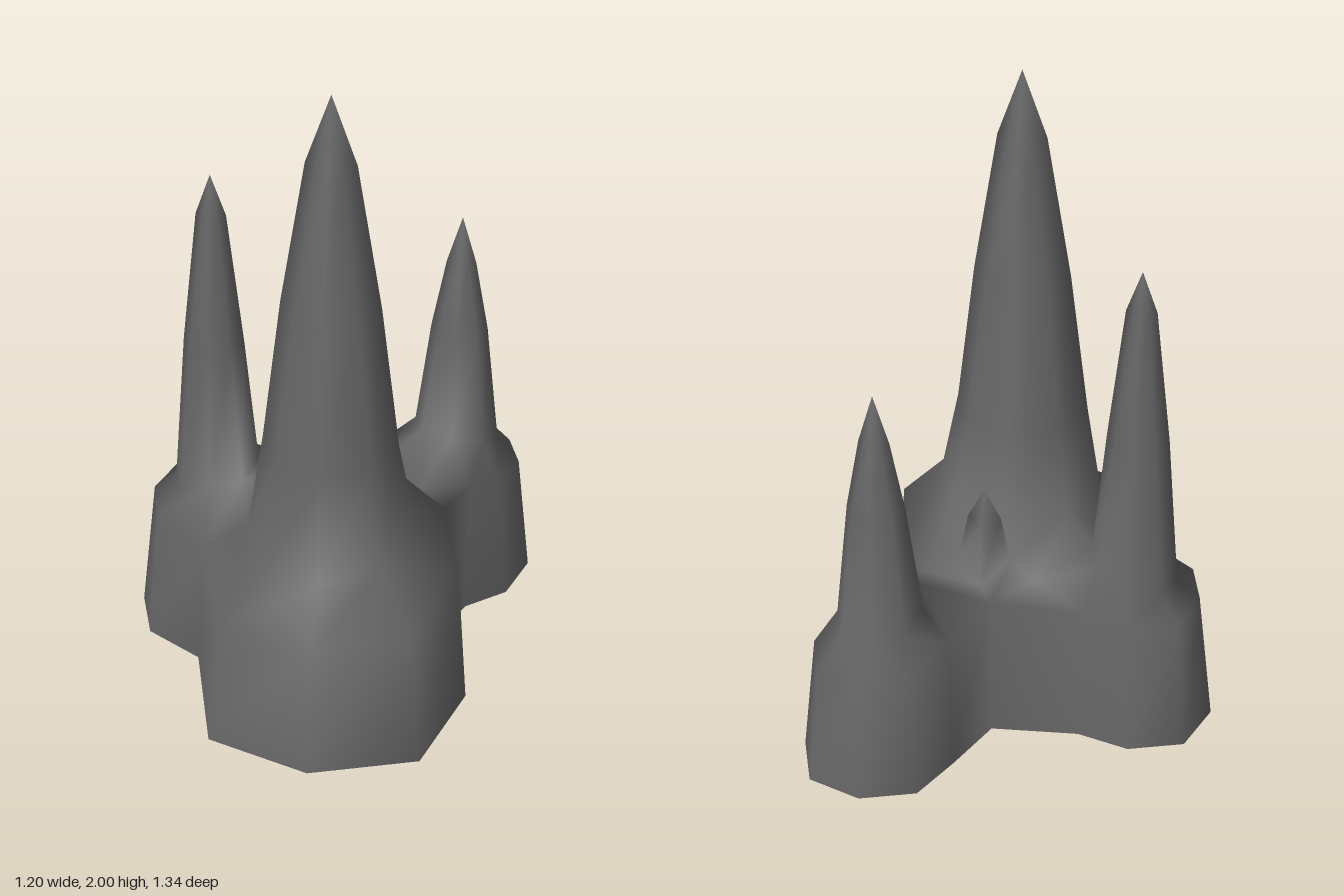
import * as THREE from 'three';
import { mergeVertices } from 'three/addons/utils/BufferGeometryUtils.js';

const V = (x, y, z) => new THREE.Vector3(x, y, z);

// Spires: centre, slope of the foot along x and z, rings of [radius, height, diagonal factor], tip height
const spires = [
  { x: 0.05, z: 0.22, sides: 8, tip: 2.0, tilt: [0.04, -0.065],
    rings: [[0.25, 0.59, 1], [0.2, 0.88, 1], [0.145, 1.34, 0.92], [0.073, 1.79, 0.72]] },
  { x: -0.35, z: -0.08, sides: 8, tip: 1.56, tilt: [0.045, 0],
    rings: [[0.13, 0.54, 1.05], [0.092, 1.0, 0.95], [0.045, 1.43, 0.75]] },
  { x: 0.35, z: -0.43, sides: 8, tip: 1.285, tilt: [-0.02, 0.035],
    rings: [[0.13, 0.53, 1.05], [0.087, 0.9, 1], [0.045, 1.13, 0.75]] },
  { x: 0.1, z: -0.12, sides: 4, tip: 0.78, tilt: [0, 0.05], rings: [[0.078, 0.53, 1], [0.05, 0.68, 1]] },
];

// Low points of the saddles between the spires
const saddles = [V(0.27, 0.47, -0.15), V(-0.06, 0.51, -0.18)];

// Ground outline: x, z, rim height, inset towards the nearest spire, spire index
const outline = [
  [0.05, 0.67, 0.39, 0.06, 0], [0.37, 0.565, 0.42, 0.05, 0], [0.47, 0.245, 0.48, 0.035, 0],
  [0.365, -0.07, 0.47, 0.01, 0], [0.42, -0.195, 0.46, 0.01, 2], [0.54, -0.29, 0.41, 0.045, 2],
  [0.595, -0.455, 0.4, 0.045, 2], [0.54, -0.615, 0.39, 0.045, 2], [0.375, -0.67, 0.39, 0.045, 2],
  [0.21, -0.615, 0.41, 0.04, 2], [0.13, -0.46, 0.46, 0.01, 2], [0.05, -0.285, 0.48, 0.01, 0],
  [-0.215, -0.26, 0.46, 0.01, 1], [-0.375, -0.3, 0.44, 0.04, 1], [-0.54, -0.245, 0.44, 0.045, 1],
  [-0.6, -0.08, 0.44, 0.05, 1], [-0.545, 0.085, 0.44, 0.045, 1], [-0.37, 0.19, 0.43, 0.03, 0],
  [-0.265, 0.565, 0.4, 0.05, 0],
];

function ring(s, index) {
  const [radius, y, diagonal] = s.rings[index];
  const [tx, tz] = index ? [0, 0] : s.tilt;
  return Array.from({ length: s.sides }, (_, i) => {
    const a = (i / s.sides) * Math.PI * 2;
    const r = s.sides === 8 && i % 2 ? radius * diagonal : radius;
    return V(s.x + r * Math.sin(a), y + tx * Math.sin(a) + tz * Math.cos(a), s.z + r * Math.cos(a));
  });
}

// Walls between two loops that run counter-clockwise seen from above
function wall(out, low, high) {
  low.forEach((p, i) => {
    const j = (i + 1) % low.length;
    out.push(p, low[j], high[j], p, high[j], high[i]);
  });
}

// Angle at c, seen from above
function angle(a, b, c) {
  const u = new THREE.Vector2(a.x - c.x, a.z - c.z);
  return u.angleTo(new THREE.Vector2(b.x - c.x, b.z - c.z));
}

// Swaps shared edges until the triangles are well shaped
function improve(faces, p) {
  for (let pass = 0, changed = true; changed && pass < 80; pass++) {
    changed = false;
    const owner = new Map();
    faces.forEach((f, n) => f.forEach((a, k) => owner.set(a + '_' + f[(k + 1) % 3], n)));
    const done = new Set();
    faces.forEach((f, n) => {
      for (let k = 0; k < 3; k++) {
        const a = f[k], b = f[(k + 1) % 3], c = f[(k + 2) % 3];
        const m = owner.get(b + '_' + a);
        if (m === undefined || done.has(m) || done.has(n)) continue;
        const d = faces[m].find((v) => v !== a && v !== b);
        if (angle(p[a], p[b], p[c]) + angle(p[a], p[b], p[d]) < Math.PI + 1e-4) continue;
        faces[n] = [a, d, c];
        faces[m] = [d, b, c];
        done.add(n).add(m);
        changed = true;
        break;
      }
    });
  }
}

// Fills a loop with holes, facing the sky
function fill(out, loop, holes) {
  const flat = (l) => l.map((p) => new THREE.Vector2(p.x, p.z));
  const all = [loop, ...holes].flat();
  const faces = THREE.ShapeUtils.triangulateShape(flat(loop), holes.map(flat)).map(([i, j, k]) => {
    const a = all[i], b = all[j], c = all[k];
    const up = (b.z - a.z) * (c.x - a.x) - (b.x - a.x) * (c.z - a.z);
    return up > 0 ? [i, j, k] : [i, k, j];
  });
  improve(faces, all);
  faces.flat().forEach((i) => out.push(all[i]));
}

export function createModel() {
  const group = new THREE.Group();
  group.name = 'rockSpires';
  const stone = new THREE.MeshStandardMaterial({ color: 0x666666, side: THREE.DoubleSide });
  stone.name = 'dark grey stone';

  const ground = outline.map(([x, z]) => V(x, 0, z));
  const rim = outline.map(([x, z, y, inset, k]) => {
    const d = V(spires[k].x - x, 0, spires[k].z - z).setLength(inset);
    return V(x + d.x, y, z + d.z);
  });

  // One continuous hollow skin, open below: side wall, shoulders, then a spire from every hole
  const skin = [];
  wall(skin, ground, rim);
  fill(skin, rim, [...spires.map((s) => ring(s, 0)), ...saddles.map((p) => [p])]);
  for (const s of spires) {
    const loops = s.rings.map((_, i) => ring(s, i));
    for (let i = 1; i < loops.length; i++) wall(skin, loops[i - 1], loops[i]);
    const top = loops.at(-1);
    top.forEach((p, i) => skin.push(p, top[(i + 1) % top.length], V(s.x, s.tip, s.z)));
  }
  const geometry = mergeVertices(new THREE.BufferGeometry().setFromPoints(skin), 1e-4);
  geometry.computeVertexNormals();
  const rock = new THREE.Mesh(geometry, stone);
  rock.name = 'rock';
  group.add(rock);
  return group;
}
